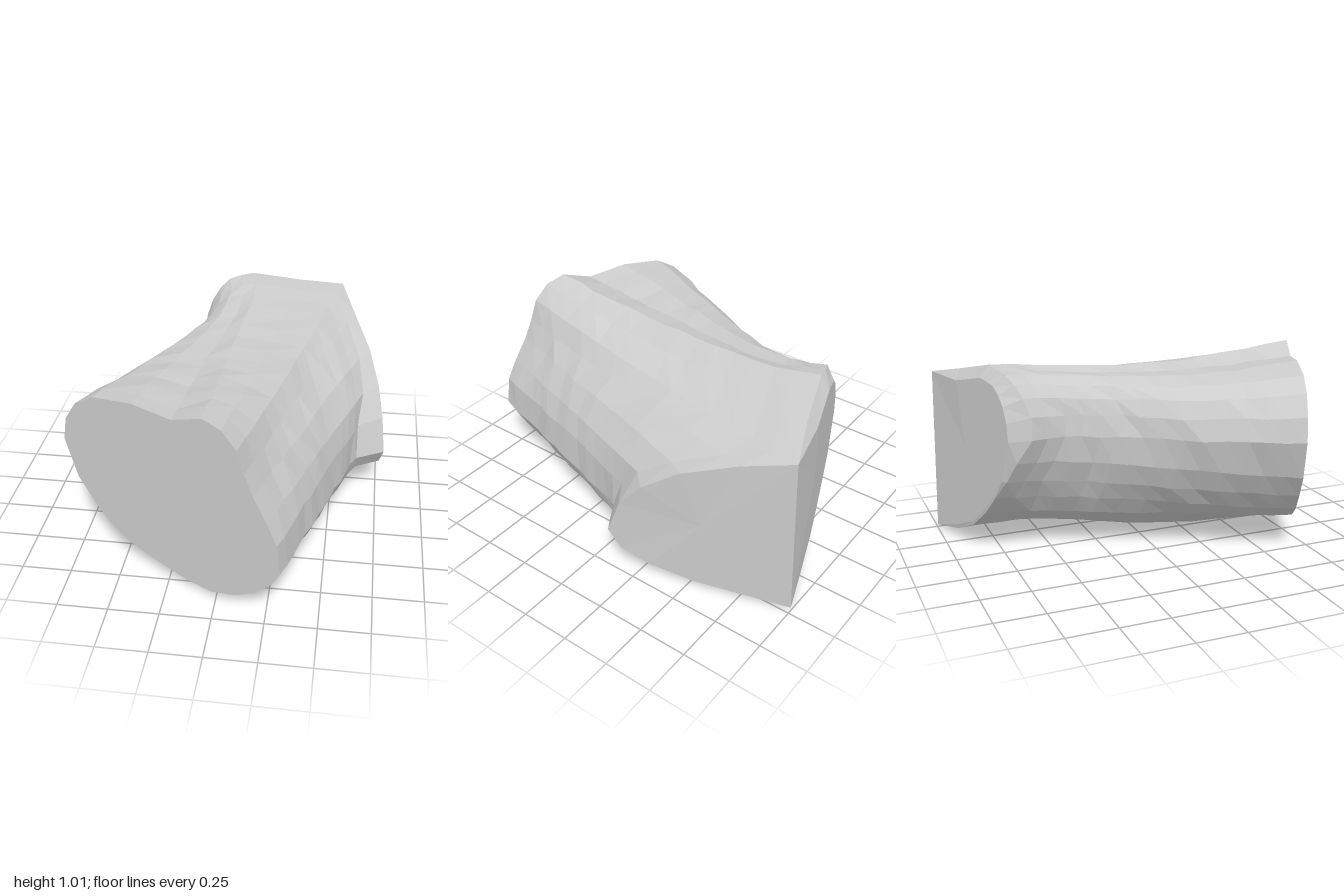
import * as THREE from 'three';

// Rings run clockwise as seen from the front, starting at the top ridge.
// Front cut outline (x, y); it lies on a slanted upright plane.
const FRONT = [
  [-0.05, 1.01], [0.04, 0.98], [0.11, 0.90], [0.145, 0.79], [0.185, 0.69], [0.255, 0.56],
  [0.30, 0.46], [0.32, 0.31], [0.28, 0.23], [0.20, 0.14], [0.10, 0.08], [-0.02, 0.045],
  [-0.15, 0.06], [-0.30, 0.105], [-0.46, 0.165], [-0.56, 0.24], [-0.64, 0.34], [-0.72, 0.46],
  [-0.78, 0.66], [-0.76, 0.78], [-0.70, 0.88], [-0.60, 0.945], [-0.40, 0.975], [-0.20, 0.955],
].map(([x, y]) => new THREE.Vector3(x, y, 0.87 + 0.41 * x));

// Rim of the rear end, which two cuts sharpen into a wedge
const REAR = [
  [-0.02, 1.0, -0.79], [0.25, 0.935, -0.88], [0.49, 0.88, -0.98], [0.57, 0.81, -0.74],
  [0.67, 0.71, -0.48], [0.73, 0.58, -0.30], [0.76, 0.45, -0.19], [0.78, 0.27, -0.13],
  [0.76, 0.17, -0.19], [0.72, 0.11, -0.33], [0.64, 0.055, -0.55], [0.48, 0.02, -1],
  [0.28, 0.06, -0.93], [0.12, 0.13, -0.88], [0.00, 0.23, -0.84], [-0.10, 0.34, -0.81],
  [-0.18, 0.44, -0.77], [-0.24, 0.55, -0.73], [-0.28, 0.67, -0.66], [-0.27, 0.78, -0.66],
  [-0.24, 0.87, -0.69], [-0.20, 0.93, -0.72], [-0.15, 0.975, -0.75], [-0.08, 0.99, -0.78],
].map((p) => new THREE.Vector3(...p));

const EDGE_TOP = 2, EDGE_BOTTOM = 11; // ends of the wedge's upright edge
const STEPS = 14;

let seed = 7;
const jitter = (amount) => {
  seed = (seed * 16807) % 2147483647;
  return (seed / 2147483647 - 0.5) * 2 * amount;
};

const { lerp, smoothstep } = THREE.MathUtils;

const centroid = (pts) =>
  pts.reduce((sum, p) => sum.add(p), new THREE.Vector3()).divideScalar(pts.length);

function toGeometry(points) {
  const geometry = new THREE.BufferGeometry().setFromPoints(points);
  geometry.computeVertexNormals();
  return geometry;
}

// Triangle strip between two closed rings
function band(a, b) {
  const out = [];
  for (let i = 0; i < a.length; i++) {
    const k = (i + 1) % a.length;
    out.push(a[i], a[k], b[k], a[i], b[k], b[i]);
  }
  return out;
}

// Fan that closes a ring
function cap(ring, center) {
  const out = [];
  ring.forEach((p, i) => out.push(center, p, ring[(i + 1) % ring.length]));
  return out;
}

// Share by which a trunk point is drawn in towards the axis
function waist(t, dx, y) {
  if (dx < 0) return 0.21 * Math.sin(Math.PI * Math.pow(t, 2.6 + Math.max(dx, -0.5)));
  // the right side narrows steadily at mid height and flares only at the rim
  const low = smoothstep(y, -0.05, 0.25) * (1 - smoothstep(y, 0.3, 0.8));
  return 0.24 * t * low + 0.05 * Math.sin(Math.PI * t * t) * (1 - low);
}

// One ring of the trunk: a waist, a dip on top, a wavy underside
function trunkRing(t) {
  if (t === 0) return FRONT;
  if (t === 1) return REAR;
  const axisX = lerp(-0.25, 0.25, t);
  const arch = Math.sin(Math.PI * t);
  return FRONT.map((f, i) => {
    const p = f.clone().lerp(REAR[i], t);
    const dx = p.x - axisX;
    p.x -= dx * waist(t, dx, p.y);
    if (p.y > 0.5) p.y -= 0.06 * arch * ((p.y - 0.5) / 0.5) ** 2;
    if (p.y < 0.2) p.y -= 0.045 * Math.sin(2 * Math.PI * Math.pow(t, 1.36)) * (1 - p.y / 0.2);
    p.x += jitter(0.006);
    p.y = Math.max(0, p.y + jitter(0.005));
    p.z += jitter(0.015);
    return p;
  });
}

export function createModel() {
  const group = new THREE.Group();
  group.name = 'cutLog';
  const grey = new THREE.MeshStandardMaterial({ color: 0xcccccc, flatShading: true });
  grey.name = 'plain grey';
  const add = (name, points) => {
    const mesh = new THREE.Mesh(toGeometry(points), grey);
    mesh.name = name;
    group.add(mesh);
  };

  // Trunk
  const rings = Array.from({ length: STEPS + 1 }, (_, j) => trunkRing(j / STEPS));
  const trunk = [];
  for (let j = 0; j < STEPS; j++) trunk.push(...band(rings[j], rings[j + 1]));
  add('trunk', trunk);

  // Flat front cut
  add('frontCut', cap([...FRONT].reverse(), new THREE.Vector3(-0.25, 0.52, 0.7675)));

  // Side cut of the wedge
  const sideRim = REAR.slice(EDGE_TOP, EDGE_BOTTOM + 1);
  add('sideCut', cap(sideRim, new THREE.Vector3(0.63, 0.42, -0.58)));

  // Rear cut with a narrow bevel around its top and outer side
  const rearRim = [...REAR.slice(EDGE_BOTTOM), ...REAR.slice(0, EDGE_TOP + 1)];
  const middle = centroid(rearRim);
  const onPlane = (x, y) => new THREE.Vector3(x, y, -0.845 - 0.323 * x);
  const inner = rearRim.map((p, i) => {
    if (i === 0 || i === rearRim.length - 1) return p;
    const q = p.clone().lerp(middle, p.y > 0.5 ? 0.16 : 0.05);
    return onPlane(q.x, q.y);
  });
  add('rearBevel', band(rearRim, inner));
  add('rearCut', cap(inner, onPlane(0.15, 0.55)));

  return group;
}
